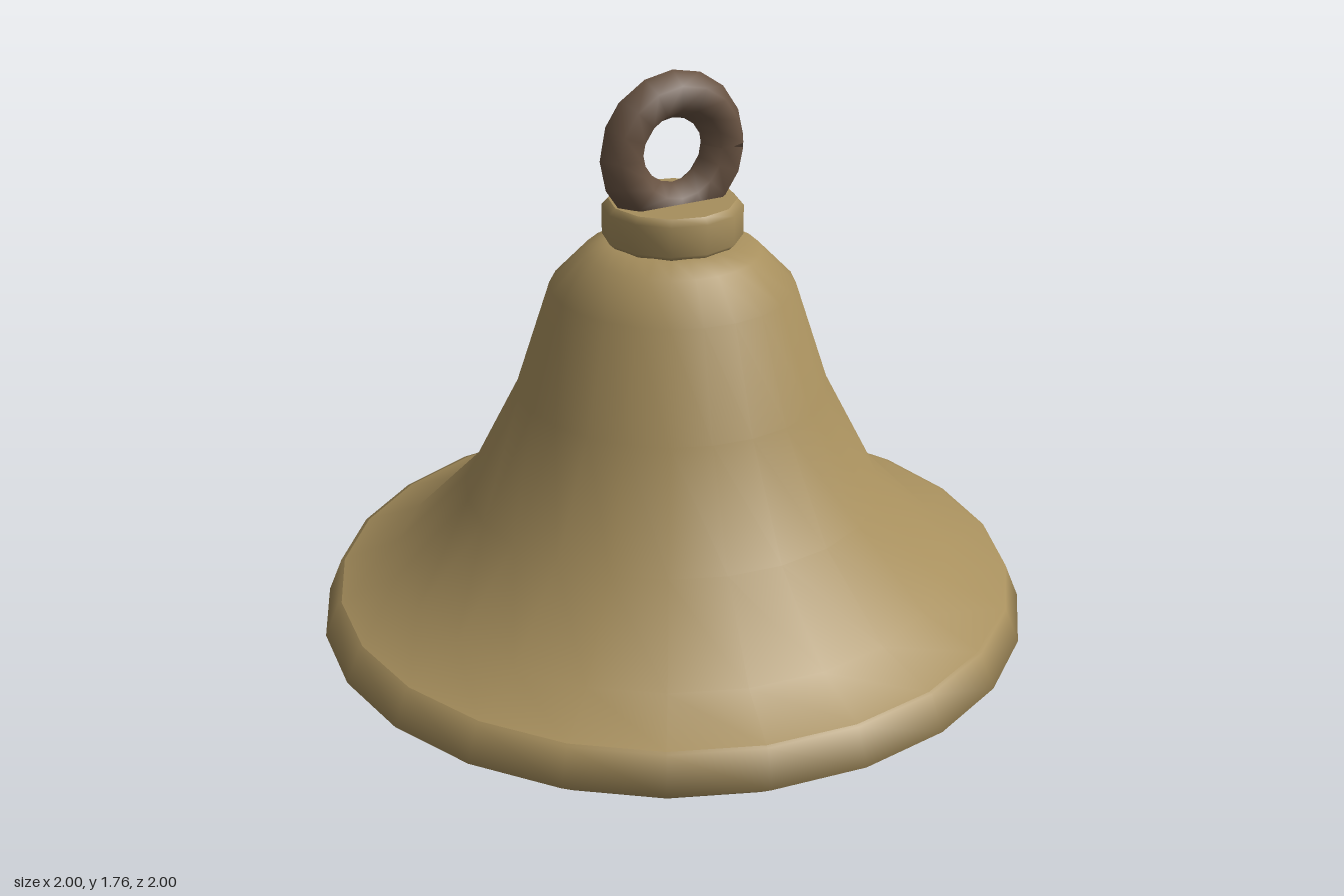
import * as THREE from 'three';

const gold = new THREE.MeshStandardMaterial({ color: 0xa78f5d, side: THREE.DoubleSide });
gold.name = 'agedBrass';
const iron = new THREE.MeshStandardMaterial({ color: 0x6a5443, side: THREE.DoubleSide });
iron.name = 'darkIron';

// Turn a profile of [radius, height] pairs around the y axis
function turn(name, profile, segments) {
  const points = profile.map(([r, y]) => new THREE.Vector2(r, y));
  const mesh = new THREE.Mesh(new THREE.LatheGeometry(points, segments), gold);
  mesh.name = name;
  return mesh;
}

// Ring with a hexagonal section whose two ends pinch together at a wedge-shaped seam
function makeRing(radius, tube) {
  const geometry = new THREE.TorusGeometry(radius, tube, 6, 16);
  const { position, uv } = geometry.attributes;
  for (let i = 0; i < position.count; i++) {
    const u = uv.getX(i);
    const slope = u < 0.001 ? 0.19 : u > 0.999 ? -0.19 : 0;
    if (slope) position.setY(i, (position.getX(i) - radius) * slope);
  }
  const mesh = new THREE.Mesh(geometry, iron);
  mesh.name = 'hangingRing';
  return mesh;
}

export function createModel() {
  const bell = new THREE.Group();
  bell.name = 'bell';

  // Thin flared wall, seen from outside and inside
  bell.add(turn('bellWall', [
    [0.95, 0.305], [0.79, 0.37], [0.585, 0.58], [0.43, 0.88],
    [0.335, 1.17], [0.24, 1.268], [0.17, 1.3], [0, 1.303],
  ], 24));

  // Rounded rim around the mouth
  bell.add(turn('rim', [
    [0.89, 0.315], [0.84, 0.25], [0.845, 0.15], [0.91, 0.138],
    [1, 0.206], [0.96, 0.303], [0.89, 0.315],
  ], 24));

  // Collar on the crown
  bell.add(turn('collar', [
    [0, 1.295], [0.172, 1.295], [0.19, 1.312], [0.19, 1.393], [0.172, 1.41],
  ], 12));
  bell.add(turn('collarTop', [[0.172, 1.41], [0, 1.41]], 12));

  // Ring
  const ring = makeRing(0.152, 0.064);
  ring.position.y = 1.545;
  bell.add(ring);

  // Clapper, swung a little to one side
  const clapper = new THREE.Group();
  clapper.name = 'clapper';
  const top = new THREE.Vector3(0, 1.25, 0);
  const end = new THREE.Vector3(0.105, 0.215, 0);
  const direction = top.clone().sub(end);
  const rod = new THREE.Mesh(new THREE.CylinderGeometry(0.068, 0.068, direction.length(), 6), iron);
  rod.name = 'clapperRod';
  rod.position.copy(top).add(end).multiplyScalar(0.5);
  rod.quaternion.setFromUnitVectors(new THREE.Vector3(0, 1, 0), direction.normalize());
  const ball = new THREE.Mesh(new THREE.SphereGeometry(1, 8, 4), iron);
  ball.name = 'clapperBall';
  ball.scale.set(0.2, 0.215, 0.19);
  ball.position.copy(end);
  clapper.add(rod, ball);
  bell.add(clapper);

  return bell;
}
